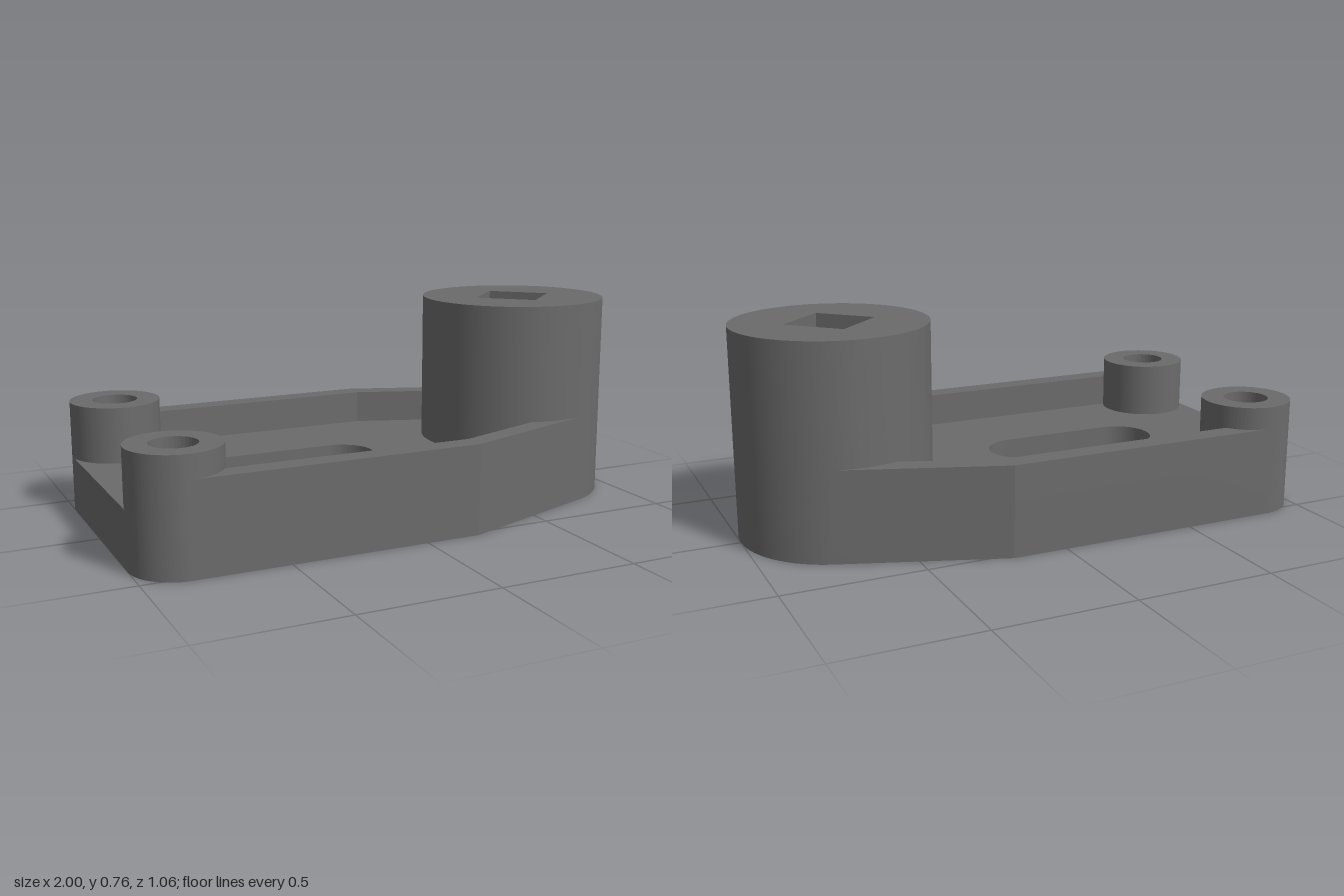
import * as THREE from 'three';
import { toCreasedNormals } from 'three/addons/utils/BufferGeometryUtils.js';

const U = 2 / 49; // design unit
const FLOOR = 5 * U, WALL = 8 * U, BOSS = 10 * U, POST = 18.5 * U;
const HALF = 13 * U, BEND = 0.2;
const boss = { x: -1 + 4 * U, z: 9 * U, r: 4 * U, hole: 2 * U };
const post = { x: 1 - 8.5 * U, r: 8.5 * U, hole: 4 * U };

// angle at which the tapered sides meet the post tangentially
const dx = BEND - post.x;
const tangent = Math.atan2(HALF, dx) - Math.acos(post.r / Math.hypot(dx, HALF));
const tx = post.x + post.r * Math.cos(tangent);
const tz = post.r * Math.sin(tangent);

const material = new THREE.MeshStandardMaterial({ color: 0x6b6b6b });

// full circle drawn as arcs between the given angles, so its facets line up with the plate's arcs
function circle(Type, x, y, r, angles) {
  const path = new Type();
  for (let i = 1; i < angles.length; i++) path.absarc(x, y, r, angles[i - 1], angles[i], false);
  return path;
}
const quarters = [0, 1, 2, 3, 4].map(i => i * Math.PI / 2);
const postArcs = [-tangent, tangent, 2 * Math.PI - tangent];

function squareHole() {
  const { x, hole: h } = post;
  return new THREE.Path([[x + h, 0], [x, h], [x - h, 0], [x, -h]].map(p => new THREE.Vector2(...p)));
}

function slotHole() {
  const r = 3 * U, path = new THREE.Path();
  path.absarc(-2 * U, 0, r, -Math.PI / 2, Math.PI / 2, false);
  path.absarc(-12.5 * U, 0, r, Math.PI / 2, Math.PI * 1.5, false);
  path.closePath();
  return path;
}

// plan shape raised from y0 to y1
function slab(name, shape, y0, y1) {
  const raw = new THREE.ExtrudeGeometry(shape, { depth: y1 - y0, bevelEnabled: false, curveSegments: 32 });
  raw.rotateX(-Math.PI / 2).translate(0, y0, 0);
  const mesh = new THREE.Mesh(toCreasedNormals(raw, 0.25), material);
  mesh.name = name;
  return mesh;
}

export function createModel() {
  const group = new THREE.Group();
  group.name = 'bracket';

  // base plate: rounded corners at one end, tapering to the round post
  const plan = new THREE.Shape();
  plan.moveTo(boss.x, -HALF);
  plan.lineTo(BEND, -HALF);
  plan.absarc(post.x, 0, post.r, -tangent, tangent, false);
  plan.lineTo(BEND, HALF);
  plan.absarc(boss.x, boss.z, boss.r, Math.PI / 2, Math.PI, false);
  plan.absarc(boss.x, -boss.z, boss.r, Math.PI, Math.PI * 1.5, false);
  plan.holes.push(slotHole(), squareHole());
  for (const s of [-1, 1]) plan.holes.push(circle(THREE.Path, boss.x, s * boss.z, boss.hole, quarters));
  group.add(slab('basePlate', plan, 0, FLOOR));

  // tall post with a square socket
  const postShape = circle(THREE.Shape, post.x, 0, post.r, postArcs);
  postShape.holes.push(squareHole());
  group.add(slab('post', postShape, FLOOR, POST));

  const inner = HALF - 2 * U;
  const slope = (tz - HALF) / (tx - BEND);
  for (const s of [-1, 1]) {
    const end = s > 0 ? 'Back' : 'Front'; // plan y runs towards -z

    // screw boss
    const ring = circle(THREE.Shape, boss.x, s * boss.z, boss.r, quarters);
    ring.holes.push(circle(THREE.Path, boss.x, s * boss.z, boss.hole, quarters));
    group.add(slab('screwBoss' + end, ring, FLOOR, BOSS));

    // side wall following the edge of the plate from boss to post
    const wall = new THREE.Shape([
      [boss.x, HALF], [BEND, HALF], [tx, tz],
      [0.6, inner + slope * (0.6 - BEND)], [BEND, inner], [boss.x + 0.09, inner],
    ].map(([x, z]) => new THREE.Vector2(x, s * z)));
    group.add(slab('sideWall' + end, wall, FLOOR, WALL));
  }
  return group;
}
